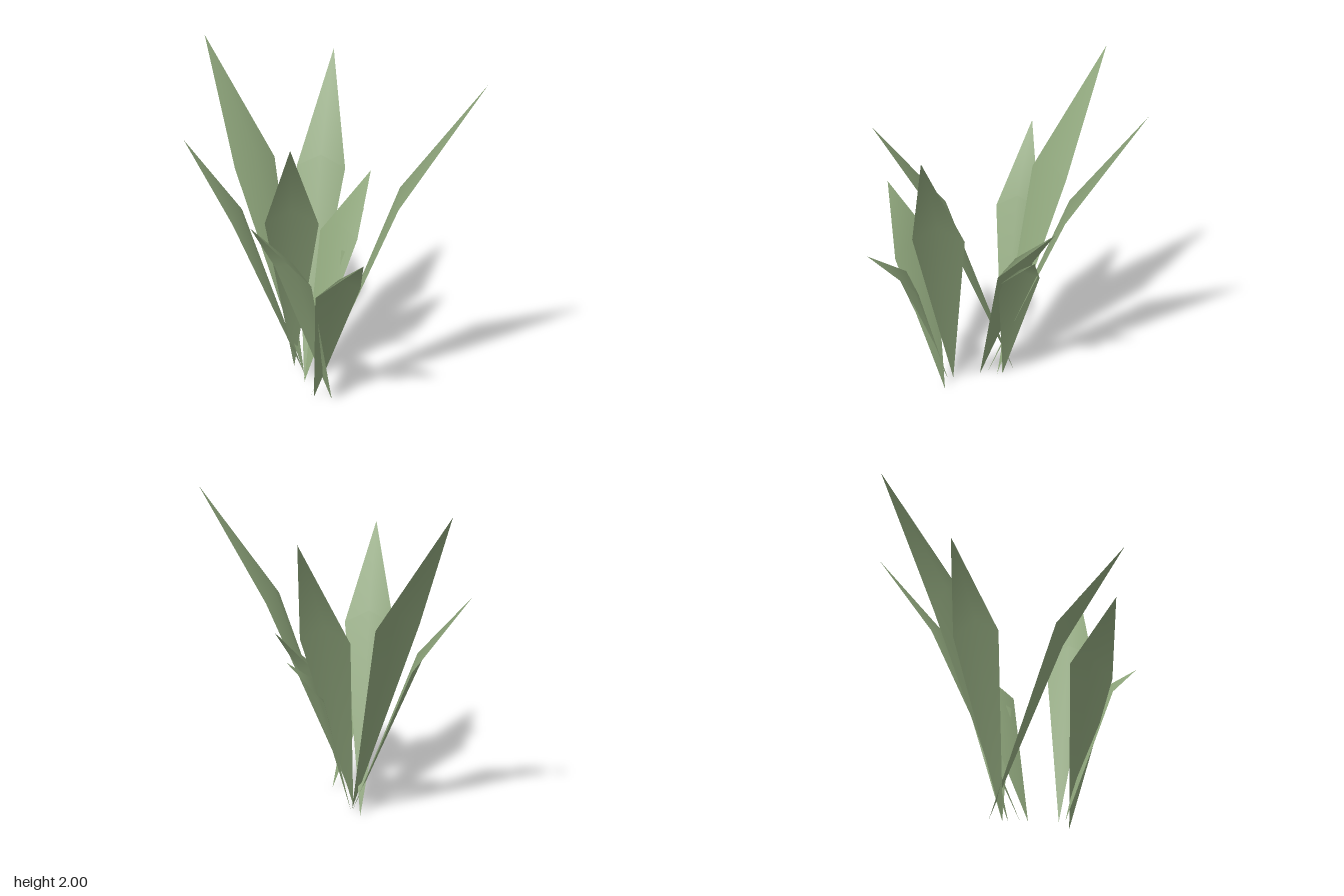
import * as THREE from 'three';

// Each leaf: base, one edge corner, other edge corner, tip
const LEAVES = [
  [[-0.18, 0, 0.30], [0.17, 1.27, 0.69], [0.33, 1.27, 0.44], [0.64, 1.96, 0.82]],
  [[-0.09, 0, 0.03], [-0.06, 1.29, -0.43], [-0.36, 1.28, -0.36], [-0.33, 2.0, -0.85]],
  [[-0.10, 0, -0.09], [-0.43, 1.13, 0.21], [-0.16, 1.13, 0.36], [-0.48, 1.70, 0.65]],
  [[-0.12, 0, 0.09], [0.32, 1.22, -0.21], [0.08, 1.22, -0.40], [0.47, 1.87, -0.65]],
  [[-0.08, 0, 0.0], [-0.31, 1.0, -0.38], [-0.47, 1.0, -0.16], [-0.63, 1.46, -0.50]],
  [[-0.18, 0.01, 0.34], [-0.31, 0.80, 0.61], [-0.01, 0.79, 0.59], [-0.14, 1.05, 0.85]],
  [[-0.09, 0, 0.40], [-0.41, 0.89, 0.30], [-0.33, 0.87, 0.60], [-0.65, 1.24, 0.50]],
  [[-0.14, 0, 0.13], [0.20, 0.90, 0.17], [0.10, 0.88, -0.12], [0.43, 1.23, -0.08]],
  [[-0.07, 0.01, 0.0], [0.13, 0.80, 0.13], [0.15, 0.79, -0.14], [0.34, 1.02, 0.0]],
];

// Kite-shaped blade with a slightly raised midrib, smooth shaded
function leafGeometry([base, a, b, tip]) {
  const rib = a.map((v, i) => (v + b[i]) / 2 + (i === 1 ? 0.08 : 0));
  const geometry = new THREE.BufferGeometry();
  geometry.setAttribute('position',
    new THREE.Float32BufferAttribute([base, a, b, tip, rib].flat(), 3));
  geometry.setIndex([0, 1, 4, 0, 4, 2, 1, 3, 4, 4, 3, 2]);
  geometry.computeVertexNormals();
  return geometry;
}

export function createModel() {
  const plant = new THREE.Group();
  plant.name = 'leafyPlant';
  const green = new THREE.MeshStandardMaterial({ color: 0x8fa67c, side: THREE.DoubleSide });
  LEAVES.forEach((points, i) => {
    const leaf = new THREE.Mesh(leafGeometry(points), green);
    leaf.name = `leaf${i + 1}`;
    plant.add(leaf);
  });
  return plant;
}
